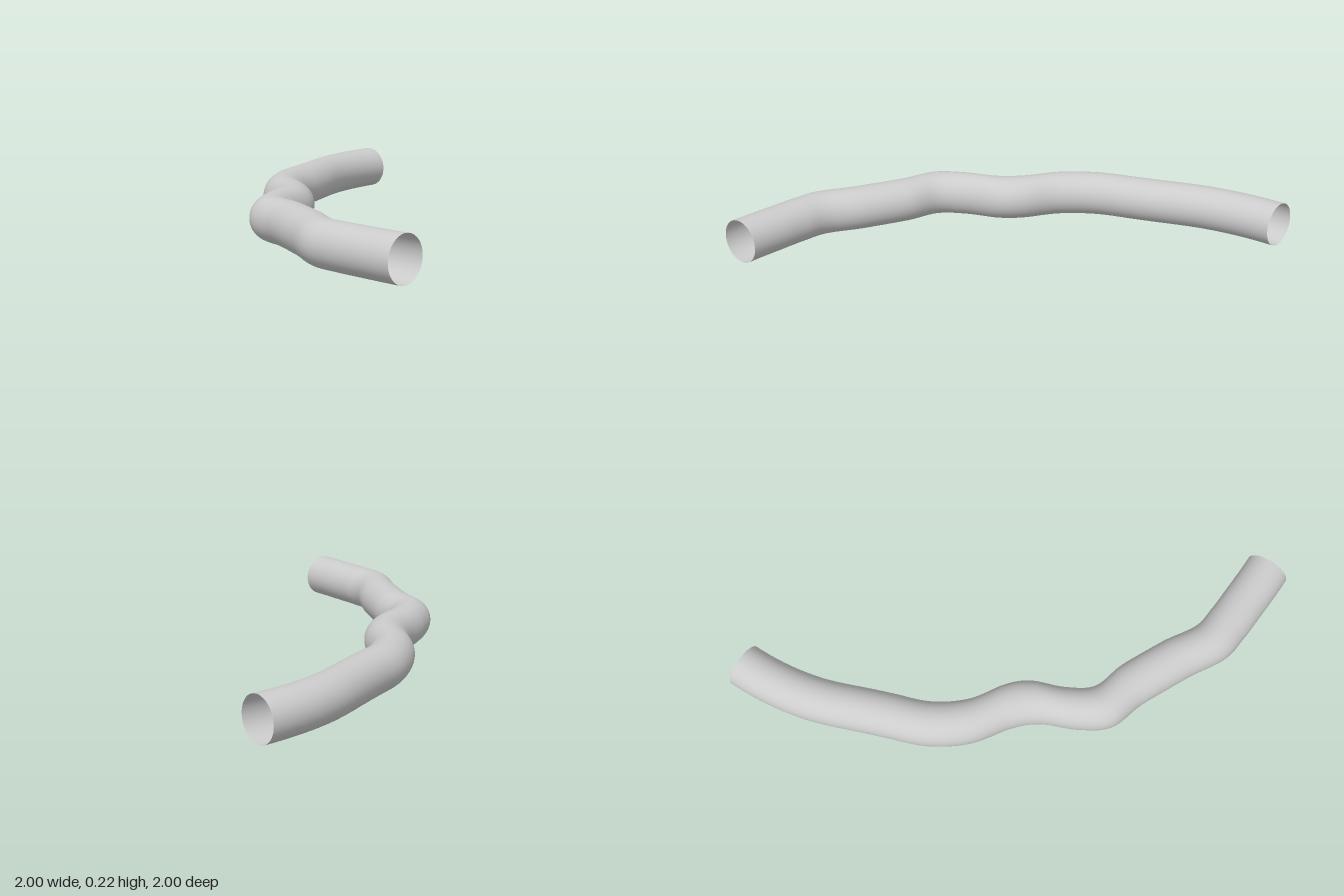
import * as THREE from 'three';
import { ParametricGeometry } from 'three/addons/geometries/ParametricGeometry.js';

const TUBE_RADIUS = 0.11;

// Wavy quarter arc about (1, 1) in plan: sweep angle in degrees, distance from the centre
const path = new THREE.SplineCurve([
  [0, 1.89], [6, 1.895], [11, 1.911], [15, 1.922], [21, 1.882], [28.5, 1.88],
  [34, 1.923], [38.5, 1.88], [43.5, 1.805], [48, 1.8], [54, 1.858], [60, 1.875],
  [66, 1.858], [71, 1.858], [78, 1.878], [84, 1.887], [90, 1.89],
].map(([a, r]) => new THREE.Vector2(a, r)));

// Round sections stay on the radial plane of the arc, so both ends are cut square
function tubePoint(u, v, target) {
  const p = path.getPoint(u);
  const angle = THREE.MathUtils.degToRad(p.x);
  const turn = v * Math.PI * 2;
  const r = p.y + TUBE_RADIUS * Math.cos(turn);
  target.set(
    1 - r * Math.cos(angle),
    TUBE_RADIUS + TUBE_RADIUS * Math.sin(turn),
    1 - r * Math.sin(angle),
  );
}

export function createModel() {
  const group = new THREE.Group();
  group.name = 'bentPipe';

  // Open-ended thin pipe
  const material = new THREE.MeshStandardMaterial({ color: 0xcccccc, side: THREE.DoubleSide });
  // Run the section backwards so the faces point outward
  const geometry = new ParametricGeometry((u, v, t) => tubePoint(u, 1 - v, t), 160, 48);
  // Make sure the winding faces away from the pipe's centre line
  const pos = geometry.attributes.position;
  const idx = geometry.index;
  const [a, b, c] = [0, 1, 2].map((i) => new THREE.Vector3().fromBufferAttribute(pos, idx.getX(i)));
  const normal = b.clone().sub(a).cross(c.clone().sub(a));
  const outward = a.clone().sub(new THREE.Vector3(1 - 1.89, TUBE_RADIUS, 1));
  if (normal.dot(outward) < 0) {
    for (let i = 0; i < idx.count; i += 3) {
      const first = idx.getX(i);
      idx.setX(i, idx.getX(i + 2));
      idx.setX(i + 2, first);
    }
    const n = geometry.attributes.normal;
    for (let i = 0; i < n.count; i++) n.setXYZ(i, -n.getX(i), -n.getY(i), -n.getZ(i));
  }

  const pipe = new THREE.Mesh(geometry, material);
  pipe.name = 'pipe';
  group.add(pipe);
  return group;
}
